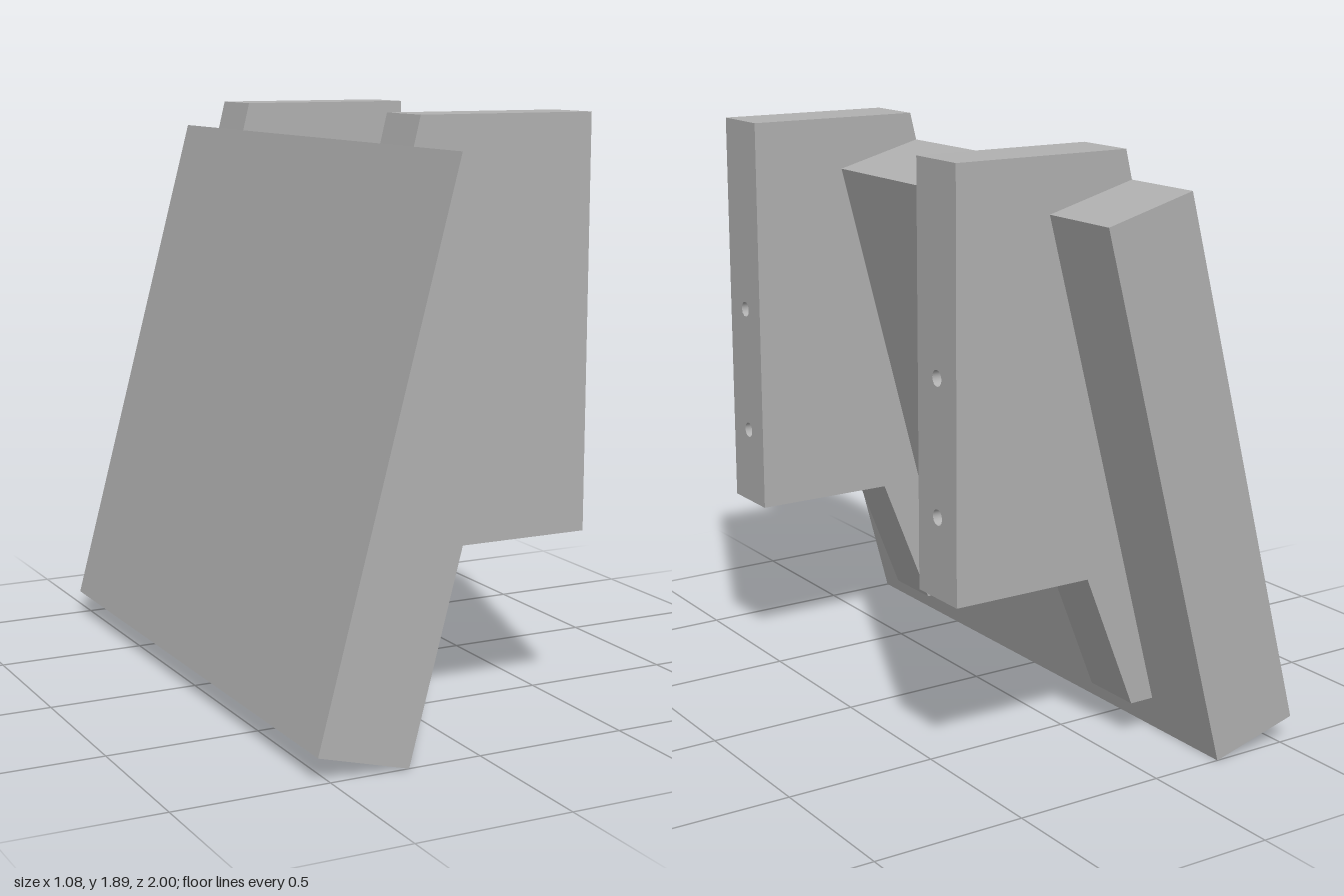
import * as THREE from 'three';

const grey = new THREE.MeshStandardMaterial({ color: 0xb0b0b0 });
grey.name = 'plainGrey';

const toShape = (pts) => new THREE.Shape(pts.map(([x, y]) => new THREE.Vector2(x, y)));

function addMesh(parent, name, geometry) {
  const mesh = new THREE.Mesh(geometry, grey);
  mesh.name = name;
  parent.add(mesh);
  return mesh;
}

// Bracket outline, counter-clockwise; the last two edges lie against the panel
const OUTLINE = [
  [-0.205, 0.12], [-0.12, 0.12], [0.06, 0.57], [0.54, 0.57],
  [0.54, 1.89], [-0.06, 1.89], [-0.083, 1.797], [0.215, 1.717],
];
const WIDTH = 0.21;
const BORE_R = 0.025;
const BORE_DEPTH = 0.2;
// Drilled hole positions along an edge, by edge index
const HOLES = { 2: [0.09, 0.345], 3: [0.255, 0.68] };

function createBracket(name) {
  const bracket = new THREE.Group();
  bracket.name = name;

  // Two flat cheeks
  const cheek = new THREE.ShapeGeometry(toShape(OUTLINE));
  addMesh(bracket, 'cheekFront', cheek).position.z = WIDTH / 2;
  const back = addMesh(bracket, 'cheekBack', new THREE.ShapeGeometry(
    toShape(OUTLINE.map(([x, y]) => [-x, y]))));
  back.rotation.y = Math.PI;
  back.position.z = -WIDTH / 2;

  // Edge faces, with drilled bores where listed
  for (let i = 0; i < OUTLINE.length - 2; i++) {
    const [ax, ay] = OUTLINE[i];
    const [bx, by] = OUTLINE[i + 1];
    const length = Math.hypot(bx - ax, by - ay);
    const along = new THREE.Vector3(bx - ax, by - ay, 0).normalize();
    const across = new THREE.Vector3(0, 0, 1);
    const normal = along.clone().cross(across);
    const place = new THREE.Matrix4().makeBasis(along, across, normal).setPosition(ax, ay, 0);

    const h = WIDTH / 2;
    const face = toShape([[0, -h], [length, -h], [length, h], [0, h]]);
    for (const u of HOLES[i] || []) {
      face.holes.push(new THREE.Path().absarc(u, 0, BORE_R, 0, Math.PI * 2, true));
      // Blind bore with a conical end
      const bore = new THREE.LatheGeometry([
        new THREE.Vector2(BORE_R, 0),
        new THREE.Vector2(BORE_R, -BORE_DEPTH),
        new THREE.Vector2(0, -BORE_DEPTH - 0.015),
      ], 24);
      bore.rotateX(Math.PI / 2).translate(u, 0, 0).applyMatrix4(place);
      addMesh(bracket, 'bore', bore);
    }
    addMesh(bracket, 'edgeFace', new THREE.ShapeGeometry(face, 24).applyMatrix4(place));
  }
  return bracket;
}

export function createModel() {
  const model = new THREE.Group();
  model.name = 'leaningPanelWithBrackets';

  // Thick leaning panel
  const panel = new THREE.ExtrudeGeometry(
    toShape([[-0.54, 0.08], [-0.242, 0], [0.215, 1.717], [-0.083, 1.797]]),
    { depth: 2, bevelEnabled: false });
  panel.translate(0, 0, -1);
  addMesh(model, 'panel', panel);

  // Pair of hooked brackets
  for (const side of [1, -1]) {
    const bracket = createBracket(side > 0 ? 'frontBracket' : 'backBracket');
    bracket.position.z = side * 0.61;
    model.add(bracket);
  }
  return model;
}
